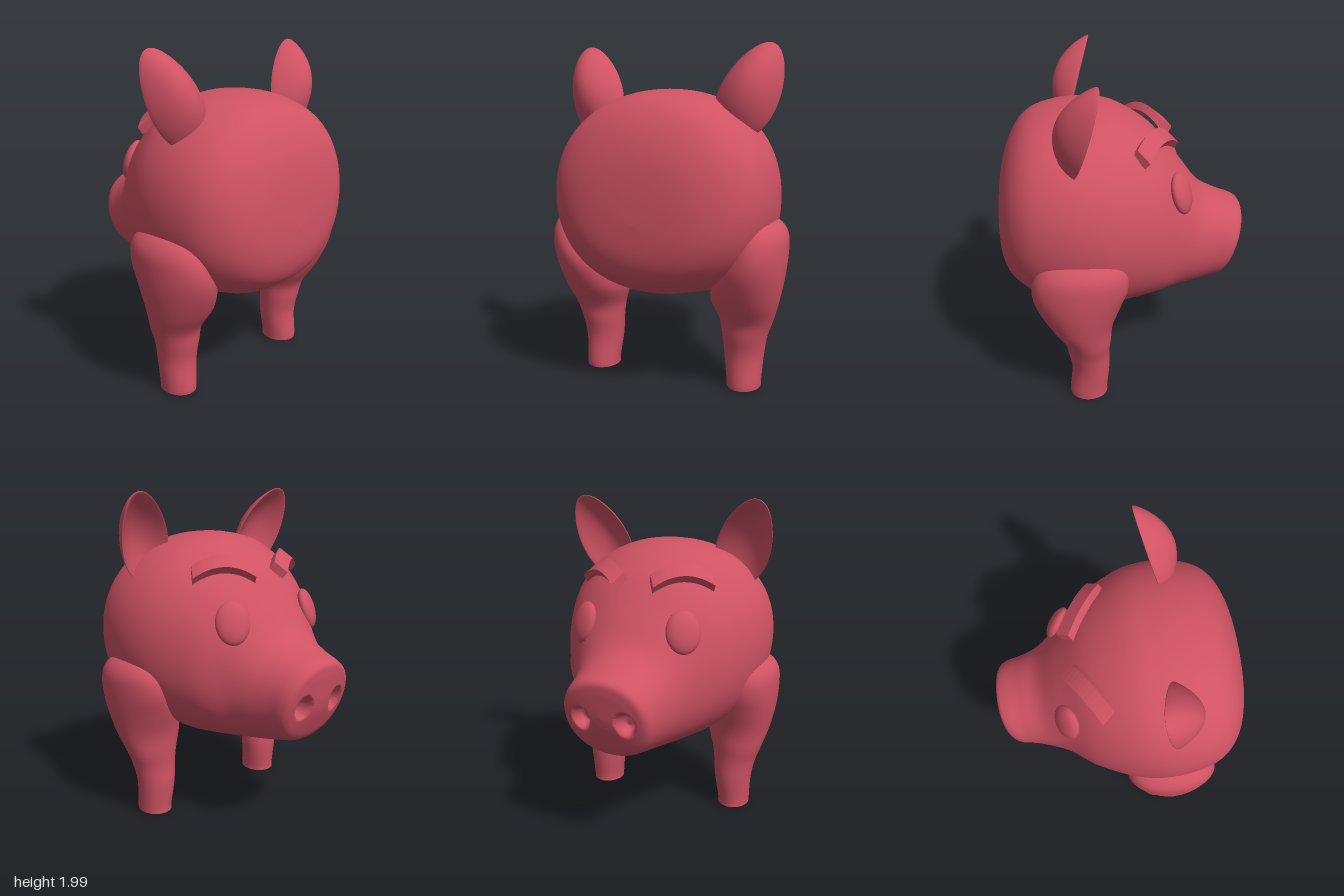
import * as THREE from 'three';

const material = new THREE.MeshStandardMaterial({ color: 0xcf5263, side: THREE.DoubleSide });

// Smoothly interpolated rows of cross-section values; each row becomes one closed ring.
function loft(rows, steps, sides, pointAt) {
  const size = rows[0].length;
  const spline = new THREE.CubicInterpolant(rows.map((_, i) => i), rows.flat(), size);
  const rings = (rows.length - 1) * steps;
  const pos = [], index = [];
  for (let i = 0; i <= rings; i++) {
    const row = Array.from(spline.evaluate(i / steps));
    for (let j = 0; j < sides; j++) {
      const a = (j / sides) * Math.PI * 2;
      pos.push(...pointAt(row, Math.cos(a), Math.sin(a)));
      if (i === rings) continue;
      const k = (j + 1) % sides, p = i * sides, q = p + sides;
      index.push(p + j, q + j, p + k, q + j, q + k, p + k);
    }
  }
  const geo = new THREE.BufferGeometry();
  geo.setAttribute('position', new THREE.Float32BufferAttribute(pos, 3));
  geo.setIndex(index);
  geo.computeVertexNormals();
  return geo;
}

// Moves every vertex of a geometry by a rule.
function deform(geo, rule) {
  const p = geo.attributes.position, v = new THREE.Vector3();
  for (let i = 0; i < p.count; i++) {
    rule(v.fromBufferAttribute(p, i));
    p.setXYZ(i, v.x, v.y, v.z);
  }
  geo.computeVertexNormals();
  return geo;
}

// Places a geometry with its x axis along ax and its y axis near ay.
function place(geo, ax, ay, at) {
  const x = new THREE.Vector3(...ax).normalize();
  const z = x.clone().cross(new THREE.Vector3(...ay)).normalize();
  const y = z.clone().cross(x);
  return geo.applyMatrix4(new THREE.Matrix4().makeBasis(x, y, z).setPosition(...at));
}

function mirrored(geo) {
  const m = geo.clone().scale(-1, 1, 1), ix = m.index.array;
  for (let i = 0; i < ix.length; i += 3) [ix[i], ix[i + 1]] = [ix[i + 1], ix[i]];
  return m;
}

// Body rings from rump to snout: top z, top y, bottom z, bottom y, half width
function bodyGeometry() {
  const rows = [
    [0.745, 1.02, 0.745, 1.02, 0],
    [0.73, 1.25, 0.735, 0.85, 0.25],
    [0.70, 1.42, 0.70, 0.74, 0.40],
    [0.63, 1.58, 0.64, 0.67, 0.52],
    [0.53, 1.68, 0.53, 0.60, 0.605],
    [0.37, 1.73, 0.37, 0.56, 0.65],
    [0.20, 1.74, 0.20, 0.52, 0.655],
    [0.03, 1.71, 0.03, 0.50, 0.615],
    [-0.18, 1.58, -0.18, 0.52, 0.51],
    [-0.35, 1.38, -0.32, 0.535, 0.385],
    [-0.48, 1.21, -0.43, 0.555, 0.32],
    [-0.60, 1.14, -0.52, 0.575, 0.285],
    [-0.70, 1.10, -0.59, 0.595, 0.27],
    [-0.745, 1.07, -0.625, 0.625, 0.245],
    [-0.748, 1.02, -0.655, 0.68, 0.19],
    [-0.738, 0.95, -0.70, 0.78, 0.10],
    [-0.725, 0.86, -0.725, 0.86, 0],
  ];
  const round = (c) => Math.sign(c) * Math.abs(c) ** 0.93;
  const geo = loft(rows, 8, 80, ([zt, yt, zb, yb, w], c, s) => {
    const f = (1 + round(s)) / 2;
    return [w * round(c), yb + (yt - yb) * f, zb + (zt - zb) * f];
  });
  // Nostrils pressed into the snout
  return deform(geo, (v) => {
    if (v.z > -0.6) return;
    const d = Math.hypot((Math.abs(v.x) - 0.135) / 0.06, (v.y - 0.84) / 0.075);
    if (d < 1) v.z += 0.08 * Math.min(1, 2.2 * (1 - d));
  });
}

// Leg rings from foot to hip: y, centre x, radius x, centre z, radius z
function legGeometry() {
  const rows = [
    [0.01, 0.47, 0.10, 0.24, 0.115],
    [0.05, 0.47, 0.102, 0.24, 0.115],
    [0.20, 0.465, 0.118, 0.225, 0.115],
    [0.32, 0.47, 0.135, 0.235, 0.125],
    [0.42, 0.48, 0.16, 0.24, 0.14],
    [0.55, 0.48, 0.20, 0.275, 0.19],
    [0.70, 0.51, 0.20, 0.285, 0.25],
    [0.82, 0.55, 0.17, 0.278, 0.275],
    [0.93, 0.57, 0.145, 0.27, 0.255],
    [1.00, 0.58, 0.09, 0.27, 0.18],
    [1.03, 0.61, 0, 0.28, 0],
  ];
  return loft(rows, 4, 32, ([y, x, rx, z, rz], c, s) => [x + rx * c, y, z + rz * s]);
}

function soleGeometry() {
  const geo = new THREE.SphereGeometry(1, 32, 6, 0, Math.PI * 2, Math.PI / 2, Math.PI / 2);
  return geo.scale(0.1, 0.01, 0.115).translate(0.47, 0.01, 0.24);
}

// Ear: a thin leaf cupped towards the face
function earGeometry() {
  const geo = deform(new THREE.SphereGeometry(1, 40, 32), (v) => {
    const bowl = 0.12 * (1 - v.x * v.x - v.y * v.y);
    v.set(v.x * 0.17 * (1 - 0.18 * v.y), v.y * 0.29, bowl + v.z * 0.035);
  });
  return place(geo, [0.9, -0.36, 0], [0.35, 0.88, -0.27], [0.485, 1.73, 0.235]);
}

function eyeGeometry() {
  const geo = new THREE.SphereGeometry(1, 32, 24).scale(0.1, 0.125, 0.045);
  return place(geo, [0.85, 0, 0.5], [-0.15, 0.92, 0.25], [0.315, 1.285, -0.325]);
}

// Brow: a slab arched along its length
function browGeometry() {
  const geo = new THREE.BoxGeometry(0.36, 0.05, 0.1, 12, 1, 1);
  place(geo, [0.83, 0, 0.56], [0.3, 0.76, -0.5], [0.25, 1.535, -0.18]);
  const flat = geo.toNonIndexed();
  flat.setIndex([...Array(flat.attributes.position.count).keys()]);
  return deform(flat, (v) => {
    const u = ((v.x - 0.25) * 0.83 + (v.z + 0.18) * 0.56) / 0.18;
    v.y += 0.06 * (1 - u * u);
  });
}

export function createModel() {
  const model = new THREE.Group();
  model.name = 'pig';
  const add = (name, geo) => {
    const mesh = new THREE.Mesh(geo, material);
    mesh.name = name;
    model.add(mesh);
  };
  add('body', bodyGeometry());
  const pairs = {
    Leg: legGeometry(), Sole: soleGeometry(), Ear: earGeometry(),
    Eye: eyeGeometry(), Brow: browGeometry(),
  };
  // The model's face points to -z, its limbs are mirrored across x
  for (const [name, geo] of Object.entries(pairs)) {
    add('left' + name, geo);
    add('right' + name, mirrored(geo));
  }
  return model;
}
